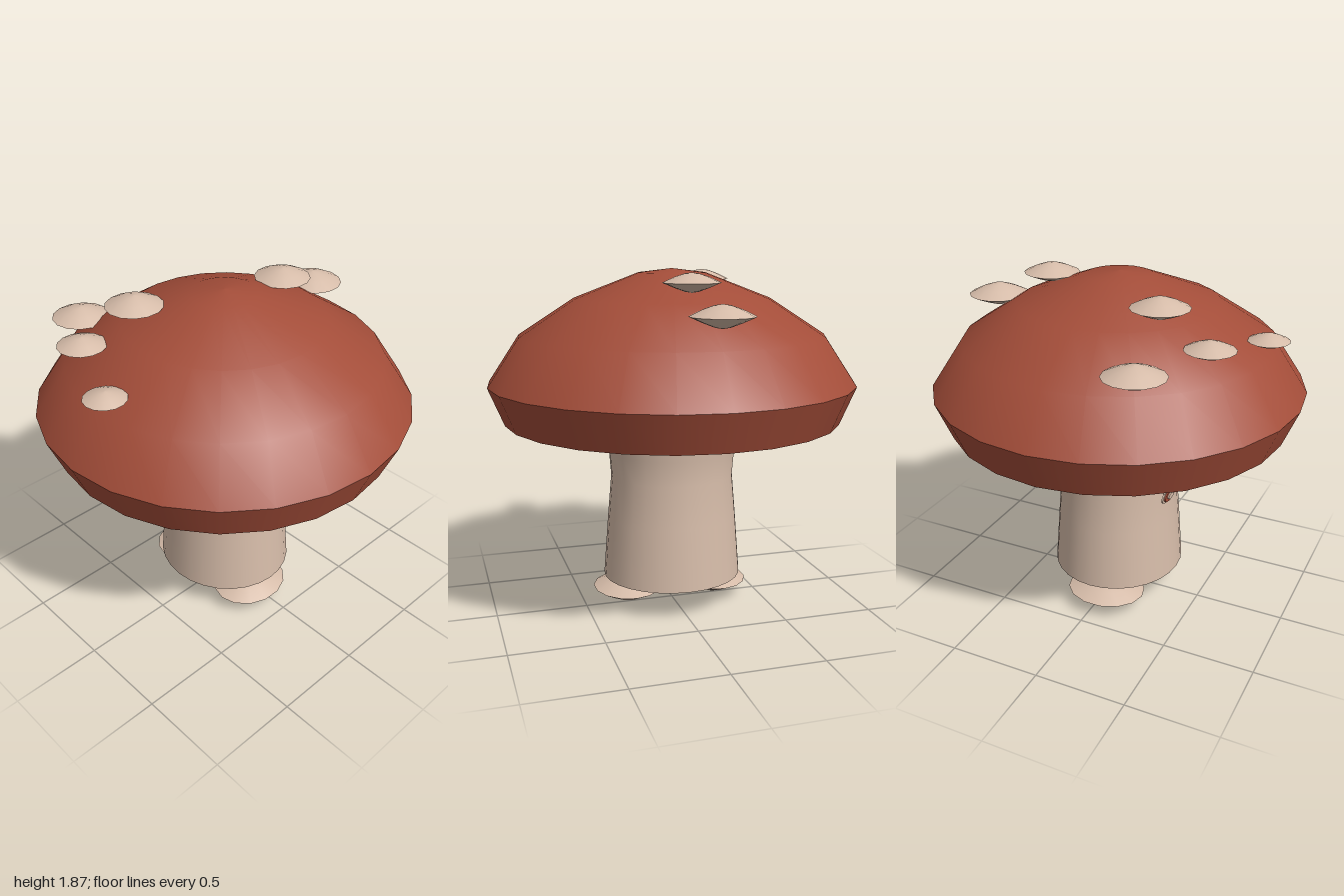
import * as THREE from 'three';

const red = new THREE.MeshStandardMaterial({ color: 0xa34d39 });
red.name = 'capRed';
const cream = new THREE.MeshStandardMaterial({ color: 0xd6bca9 });
cream.name = 'cream';

// Lathes each section on its own, so edges between sections stay sharp.
// Profiles run from the bottom centre, outward and up.
function turned(name, sections, material, segments) {
  const group = new THREE.Group();
  group.name = name;
  sections.forEach((points, i) => {
    const profile = points.map(([x, y]) => new THREE.Vector2(x, y));
    const mesh = new THREE.Mesh(new THREE.LatheGeometry(profile, segments), material);
    mesh.name = name + 'Section' + (i + 1);
    group.add(mesh);
  });
  return group;
}

// Flattened lens with a sharp rim
function lens(name, x, y, z, rx, ry, rz) {
  const g = turned(name, [
    [[0, -1], [0.25, -0.88], [0.6, -0.5], [1, 0]],
    [[1, 0], [0.6, 0.55], [0.25, 0.9], [0, 1]],
  ], cream, 14);
  g.position.set(x, y, z);
  g.scale.set(rx, ry, rz);
  return g;
}

// Thin elliptical plate facing forward
function plate(name, rx, ry, y, z, material) {
  const geometry = new THREE.CylinderGeometry(1, 1, 1, 20);
  geometry.rotateX(Math.PI / 2);
  const mesh = new THREE.Mesh(geometry, material);
  mesh.name = name;
  mesh.scale.set(rx, ry, 0.008);
  mesh.position.set(0, y, z);
  return mesh;
}

export function createModel() {
  const model = new THREE.Group();
  model.name = 'mushroom';

  // Cap: underside, lower band, dome
  model.add(turned('cap', [
    [[0, 1.01], [0.36, 1.02], [0.915, 1.06]],
    [[0.915, 1.06], [1, 1.265]],
    [[1, 1.265], [0.83, 1.52], [0.53, 1.715], [0.18, 1.85], [0, 1.872]],
  ], red, 24));

  // Stem, slightly narrower front to back
  const stem = turned('stem', [
    [[0, 0.06], [0.08, 0.066], [0.388, 0.165]],
    [[0.388, 0.165], [0.362, 0.5], [0.341, 0.74], [0.352, 0.88], [0.372, 1.05]],
  ], cream, 28);
  stem.scale.z = 0.94;
  model.add(stem);

  // Spots: x, y, z, radius, half height
  [
    [-0.04, 1.67, -0.71, 0.163, 0.058],
    [0.015, 1.813, -0.405, 0.149, 0.05],
    [-0.69, 1.605, 0.4, 0.156, 0.055],
    [-0.285, 1.8, 0.35, 0.151, 0.054],
    [-0.355, 1.656, 0.635, 0.128, 0.044],
    [0.04, 1.6, 0.8, 0.109, 0.037],
  ].forEach(([x, y, z, r, h], i) => model.add(lens('spot' + (i + 1), x, y, z, r, h, r)));

  for (const side of [-1, 1]) {
    const label = side > 0 ? 'left' : 'right';

    // Feet
    const foot = lens(label + 'Foot', side * 0.255, 0.085, 0.04, 0.19, 0.085, 0.222);
    foot.children[1].scale.y = 0.75;
    model.add(foot);

    // Eyes: stacked plates with a thin brow above
    const eye = new THREE.Group();
    eye.name = label + 'Eye';
    eye.position.x = side * 0.138;
    eye.add(
      plate('eyeWhite', 0.088, 0.035, 0.71, 0.358, cream),
      plate('iris', 0.068, 0.029, 0.71, 0.366, red),
      plate('pupil', 0.037, 0.016, 0.71, 0.374, cream),
      plate('brow', 0.082, 0.009, 0.753, 0.366, cream),
    );
    model.add(eye);
  }
  return model;
}
